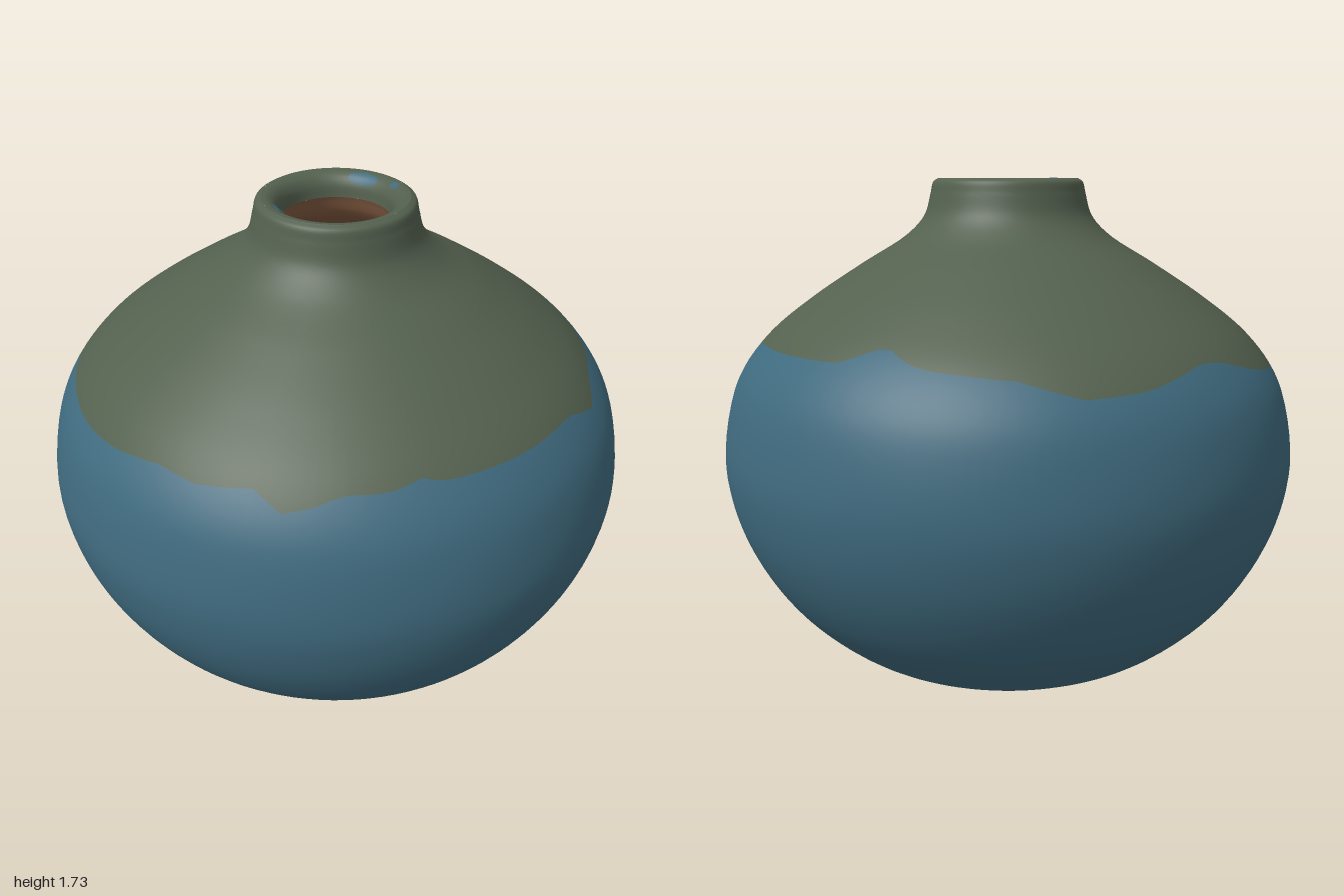
import * as THREE from 'three';
import { ParametricGeometry } from 'three/addons/geometries/ParametricGeometry.js';

const profile = (pts) => new THREE.CatmullRomCurve3(pts.map(([r, y]) => new THREE.Vector3(r, y, 0)), false, 'centripetal');

// Outer silhouette, from the centre of the base to the top of the lip
const outer = profile([
  [0.001, 0], [0.25, 0.005], [0.44, 0.04], [0.59, 0.1], [0.733, 0.21], [0.845, 0.337], [0.937, 0.5],
  [0.985, 0.65], [1, 0.8], [0.965, 1], [0.92, 1.1], [0.83, 1.21], [0.685, 1.325], [0.51, 1.44],
  [0.35, 1.54], [0.29, 1.606], [0.268, 1.68], [0.258, 1.718], [0.24, 1.73],
]);
// Rounded lip going down into the mouth
const lip = profile([[0.24, 1.73], [0.222, 1.728], [0.2, 1.715], [0.185, 1.69], [0.18, 1.65]]);
// Hollow inside, from the mouth to the floor
const hollow = profile([
  [0.18, 1.65], [0.21, 1.58], [0.32, 1.5], [0.48, 1.4], [0.65, 1.28], [0.79, 1.16], [0.9, 0.98],
  [0.94, 0.8], [0.88, 0.5], [0.69, 0.25], [0.42, 0.1], [0.2, 0.06], [0.001, 0.06],
]);

// Height of the glaze edge by angle in degrees, from the front towards +x
const glazeEdge = [
  [0, 1.185], [20, 1.185], [26, 1.155], [30, 1.14], [40, 1.18], [50, 1.175], [62, 1.19], [83, 1.195],
  [97, 1.2], [100, 1.22], [105, 1.245], [109, 1.245], [112, 1.215], [118, 1.2], [135, 1.18], [147, 1.13],
  [160, 1.14], [176, 1.19], [183, 1.18], [193, 1.14], [203, 1.115], [217, 1.11], [227, 1.13], [243, 1.14],
  [262, 1.14], [272, 1.15], [285, 1.175], [294, 1.165], [306, 1.185], [312, 1.14], [318, 1.16],
  [323, 1.185], [332, 1.185], [339, 1.205], [343, 1.19], [360, 1.185],
];

function edgeHeight(u) {
  const a = u * 360;
  const i = Math.max(1, glazeEdge.findIndex(([deg]) => deg >= a - 1e-6));
  const [a0, y0] = glazeEdge[i - 1], [a1, y1] = glazeEdge[i];
  return THREE.MathUtils.mapLinear(a, a0, a1, y0, y1);
}

// Curve parameter of the outer silhouette at a height
function paramAt(y) {
  let lo = 0, hi = 1;
  for (let i = 0; i < 30; i++) {
    const mid = (lo + hi) / 2;
    if (outer.getPoint(mid).y < y) lo = mid; else hi = mid;
  }
  return lo;
}
const edgeParam = (u) => paramAt(edgeHeight(Math.min(1, Math.max(0, u))));

// Surface of revolution between two parameter limits, each of which may vary with the angle
function revolve(curve, from, to, slices, stacks) {
  return new ParametricGeometry((u, v, target) => {
    const p = curve.getPoint(THREE.MathUtils.lerp(from(u), to(u), v));
    const a = u * Math.PI * 2;
    target.set(p.x * Math.sin(a), p.y, p.x * Math.cos(a));
  }, slices, stacks);
}

// Small worn fleck lying just above the lip
function fleck(angle, halfWidth, t0, t1) {
  return new ParametricGeometry((u, v, target) => {
    const w = Math.sqrt(Math.max(0.02, 1 - (2 * v - 1) ** 2));
    const a = THREE.MathUtils.degToRad(angle + (2 * u - 1) * halfWidth * w);
    const p = lip.getPoint(THREE.MathUtils.lerp(t0, t1, v));
    const r = p.x - 0.002;
    target.set(r * Math.sin(a), p.y + 0.003, r * Math.cos(a));
  }, 8, 8);
}

export function createModel() {
  const blue = new THREE.MeshStandardMaterial({ color: 0x3f6a7e });
  blue.name = 'blueGlaze';
  const green = new THREE.MeshStandardMaterial({ color: 0x54614f });
  green.name = 'greenGlaze';
  const clay = new THREE.MeshStandardMaterial({ color: 0x80593f });
  clay.name = 'bareClay';

  const vase = new THREE.Group();
  vase.name = 'vase';
  const add = (name, geometry, material) => {
    const mesh = new THREE.Mesh(geometry, material);
    mesh.name = name;
    vase.add(mesh);
  };
  const zero = () => 0, one = () => 1;

  // Body and shoulder meet along the uneven glaze edge
  add('body', revolve(outer, zero, edgeParam, 120, 40), blue);
  add('shoulderAndNeck', revolve(outer, edgeParam, one, 120, 40), green);
  add('lip', revolve(lip, zero, one, 80, 10), green);
  add('interior', revolve(hollow, zero, one, 60, 40), clay);

  // Flecks: angle, half width, and extent across the lip
  [[114, 16, 0.3, 0.72], [264, 13, 0.25, 0.65], [77, 5, 0.2, 0.5], [348, 6, 0.35, 0.75]]
    .forEach((f) => add('lipFleck', fleck(...f), blue));
  return vase;
}
